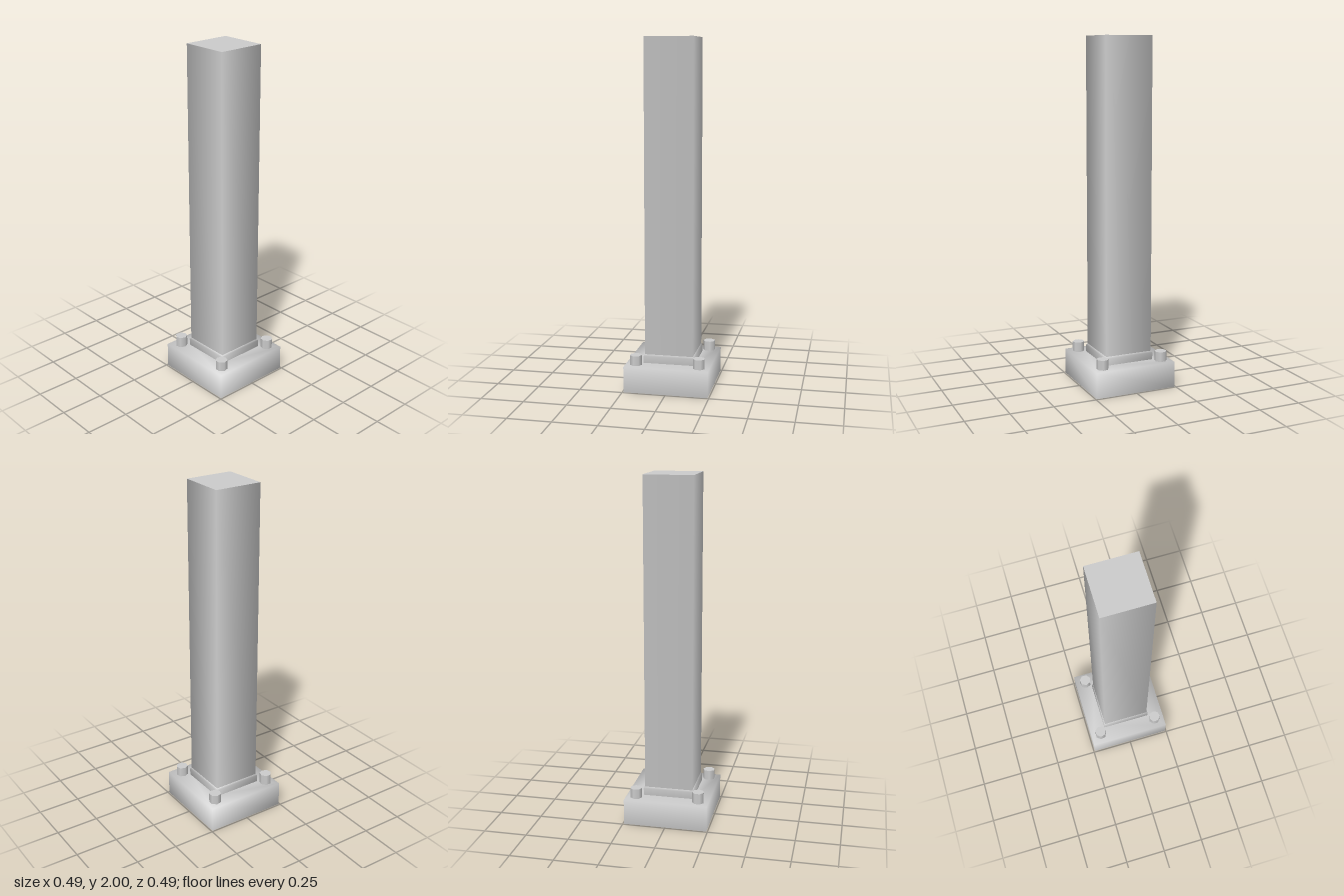
import * as THREE from 'three';

const material = new THREE.MeshStandardMaterial({ color: 0xcccccc });

function addMesh(parent, name, geometry) {
  const mesh = new THREE.Mesh(geometry, material);
  mesh.name = name;
  parent.add(mesh);
  return mesh;
}

// Four-sided, smooth-shaded body from a profile of [half width, height] pairs
function squareLoft(profile) {
  const points = profile.map(([half, y]) => new THREE.Vector2(half * Math.SQRT2, y));
  return new THREE.LatheGeometry(points, 4, Math.PI / 4);
}

// Flat square cap, facing up or down
function squareCap(half, y, up) {
  return new THREE.PlaneGeometry(half * 2, half * 2)
    .rotateX(up ? -Math.PI / 2 : Math.PI / 2)
    .translate(0, y, 0);
}

export function createModel() {
  const model = new THREE.Group();
  model.name = 'boltedPost';

  // Base block: softened sides and top, flat underside
  const base = new THREE.Group();
  base.name = 'base';
  addMesh(base, 'baseBlock', squareLoft([[0.243, 0], [0.243, 0.15], [0.14, 0.15]]));
  addMesh(base, 'baseUnderside', squareCap(0.243, 0, false));
  model.add(base);

  // Collar around the foot of the post, bevelled at the top
  addMesh(model, 'collar', squareLoft([[0.147, 0.15], [0.147, 0.19], [0.14, 0.2]]));

  // Tall post with a flat top
  const post = new THREE.Group();
  post.name = 'post';
  addMesh(post, 'postShaft', squareLoft([[0.14, 0.15], [0.14, 2]]));
  addMesh(post, 'postTop', squareCap(0.14, 2, true));
  model.add(post);

  // Seven-sided bolts, each turned a quarter from the last
  const corners = [[-1, -1], [-1, 1], [1, 1], [1, -1]];
  corners.forEach(([sx, sz], i) => {
    const top = i === 0 ? 0.213 : 0.207;
    const height = top - 0.14;
    const bolt = addMesh(model, 'bolt', new THREE.CylinderGeometry(0.035, 0.035, height, 7));
    bolt.position.set(sx * 0.183, top - height / 2, sz * 0.182);
    bolt.rotation.y = i * Math.PI / 2;
  });

  return model;
}
